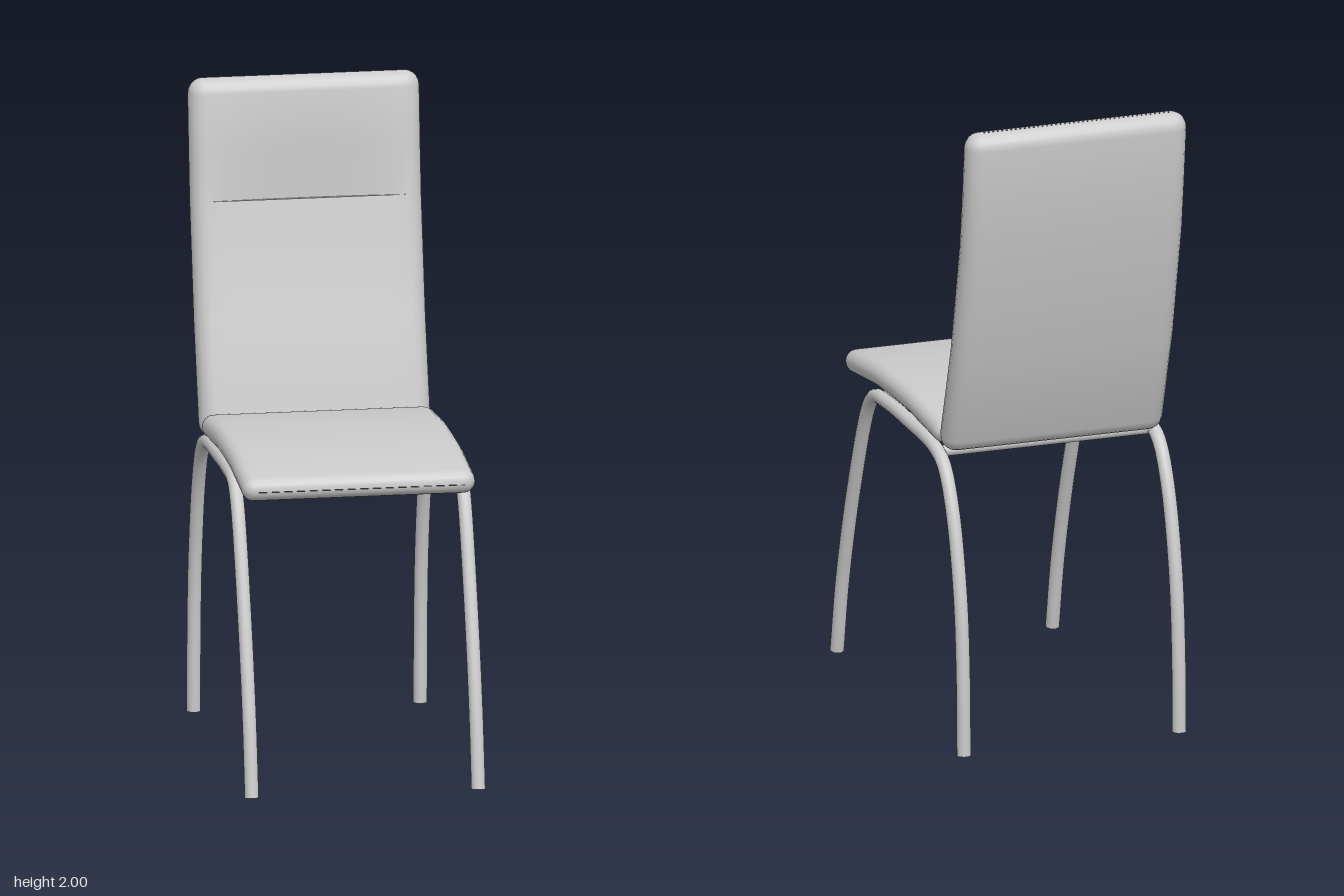
import * as THREE from 'three';
import { toCreasedNormals } from 'three/addons/utils/BufferGeometryUtils.js';

const material = new THREE.MeshStandardMaterial({ color: 0xcccccc });

function addMesh(parent, geometry, name) {
  const mesh = new THREE.Mesh(geometry, material);
  mesh.name = name;
  parent.add(mesh);
  return mesh;
}

// Outline of a cushion section: a flat slab with half-round sides.
// The first 'across' points lie on the face and can be sunk by 'dent'.
function sectionOutline(halfWidth, r, dent) {
  const across = 12, arc = 8, w = halfWidth, out = [];
  for (let i = 0; i <= across; i++) {
    const t = 1 - (2 * i) / across;
    out.push([t * w, r - dent * (1 - t * t)]);
  }
  for (let i = 1; i <= arc; i++) {
    const a = Math.PI / 2 + (Math.PI * i) / arc;
    out.push([-w + r * Math.cos(a), r * Math.sin(a)]);
  }
  for (let i = 0; i < arc; i++) {
    const a = -Math.PI / 2 + (Math.PI * i) / arc;
    out.push([w + r * Math.cos(a), r * Math.sin(a)]);
  }
  return out;
}

// Cushion swept along a side-view path of [z, y, dent], rounded at both ends.
function cushion(path, width, r) {
  const pts = path.map(([z, y]) => new THREE.Vector2(z, y));
  const rings = [];
  const last = pts.length - 1;
  const direction = (i) => {
    let a = i, b = i;
    while (a > 0 && pts[a].distanceTo(pts[i]) < 1e-6) a--;
    while (b < last && pts[b].distanceTo(pts[i]) < 1e-6) b++;
    const before = pts[i].clone().sub(pts[a]).normalize();
    const after = pts[b].clone().sub(pts[i]).normalize();
    return before.add(after).normalize();
  };
  const addRing = (p, t, radius, dent) => {
    // The face normal is the x axis crossed with the path direction.
    const nz = t.y, ny = -t.x;
    rings.push(sectionOutline(width / 2 - r, radius, dent)
      .map(([x, n]) => [x, p.y + ny * n, p.x + nz * n]));
  };
  const steps = 5;
  const addEnd = (i, sign) => {
    const t = direction(i);
    for (let k = 0; k < steps; k++) {
      const a = (Math.PI / 2) * (sign < 0 ? 1 - k / steps : (k + 1) / steps);
      const p = pts[i].clone().addScaledVector(t, sign * r * Math.sin(a));
      addRing(p, t, Math.max(r * Math.cos(a), 0.0005), 0);
    }
  };
  addEnd(0, -1);
  path.forEach((p, i) => addRing(pts[i], direction(i), r, p[2] || 0));
  addEnd(last, 1);

  const n = rings[0].length, index = [];
  for (let i = 0; i < rings.length - 1; i++) {
    for (let j = 0; j < n; j++) {
      const a = i * n + j, b = i * n + ((j + 1) % n);
      index.push(a, a + n, b, b, a + n, b + n);
    }
  }
  const geometry = new THREE.BufferGeometry();
  geometry.setAttribute('position', new THREE.Float32BufferAttribute(rings.flat(2), 3));
  geometry.setIndex(index);
  return toCreasedNormals(geometry, 0.7);
}

// One bent tube makes the front leg, side rail and rear leg.
function sideFrame(name) {
  const group = new THREE.Group();
  group.name = name;
  const radius = 0.022;
  const curve = new THREE.CatmullRomCurve3([
    [0.58, 0.005], [0.53, 0.25], [0.43, 0.57], [0.305, 0.86], [0.245, 0.922],
    [0.12, 0.935], [-0.06, 0.932], [-0.29, 0.917], [-0.37, 0.882],
    [-0.445, 0.76], [-0.515, 0.5], [-0.54, 0.25], [-0.546, 0],
  ].map(([z, y]) => new THREE.Vector3(0, y, z)), false, 'centripetal');
  addMesh(group, new THREE.TubeGeometry(curve, 72, radius, 14), 'legTube');
  for (const [t, sign, label] of [[0, -1, 'frontFoot'], [1, 1, 'rearFoot']]) {
    const cap = addMesh(group, new THREE.CircleGeometry(radius, 14), label);
    cap.position.copy(curve.getPointAt(t));
    cap.quaternion.setFromUnitVectors(new THREE.Vector3(0, 0, 1),
      curve.getTangentAt(t).multiplyScalar(sign));
  }
  return group;
}

export function createModel() {
  const chair = new THREE.Group();
  chair.name = 'chair';

  // Arched seat, from front to rear
  const seat = cushion([
    [0.485, 0.959], [0.25, 0.984], [0.1, 0.987], [-0.05, 0.985], [-0.28, 0.964],
  ], 0.725, 0.037);
  addMesh(chair, seat, 'seat').position.x = -0.006;

  // Curved backrest with a shallow hollow behind the head
  const back = cushion([
    [-0.34, 0.965], [-0.432, 1.26], [-0.512, 1.62], [-0.512, 1.62, 0.032],
    [-0.533, 1.78, 0.016], [-0.552, 1.952],
  ], 0.72, 0.048);
  addMesh(chair, back, 'backrest').position.x = -0.01;

  // Tube frames on both sides
  for (const [x, name] of [[0.352, 'leftFrame'], [-0.352, 'rightFrame']]) {
    const frame = sideFrame(name);
    frame.position.x = x;
    chair.add(frame);
  }

  // Cross bars under the seat
  for (const [z, y, name] of [[0.235, 0.92, 'frontCrossBar'], [-0.31, 0.908, 'rearCrossBar']]) {
    const bar = addMesh(chair, new THREE.CylinderGeometry(0.018, 0.018, 0.7, 12), name);
    bar.rotation.z = Math.PI / 2;
    bar.position.set(0, y, z);
  }
  return chair;
}
